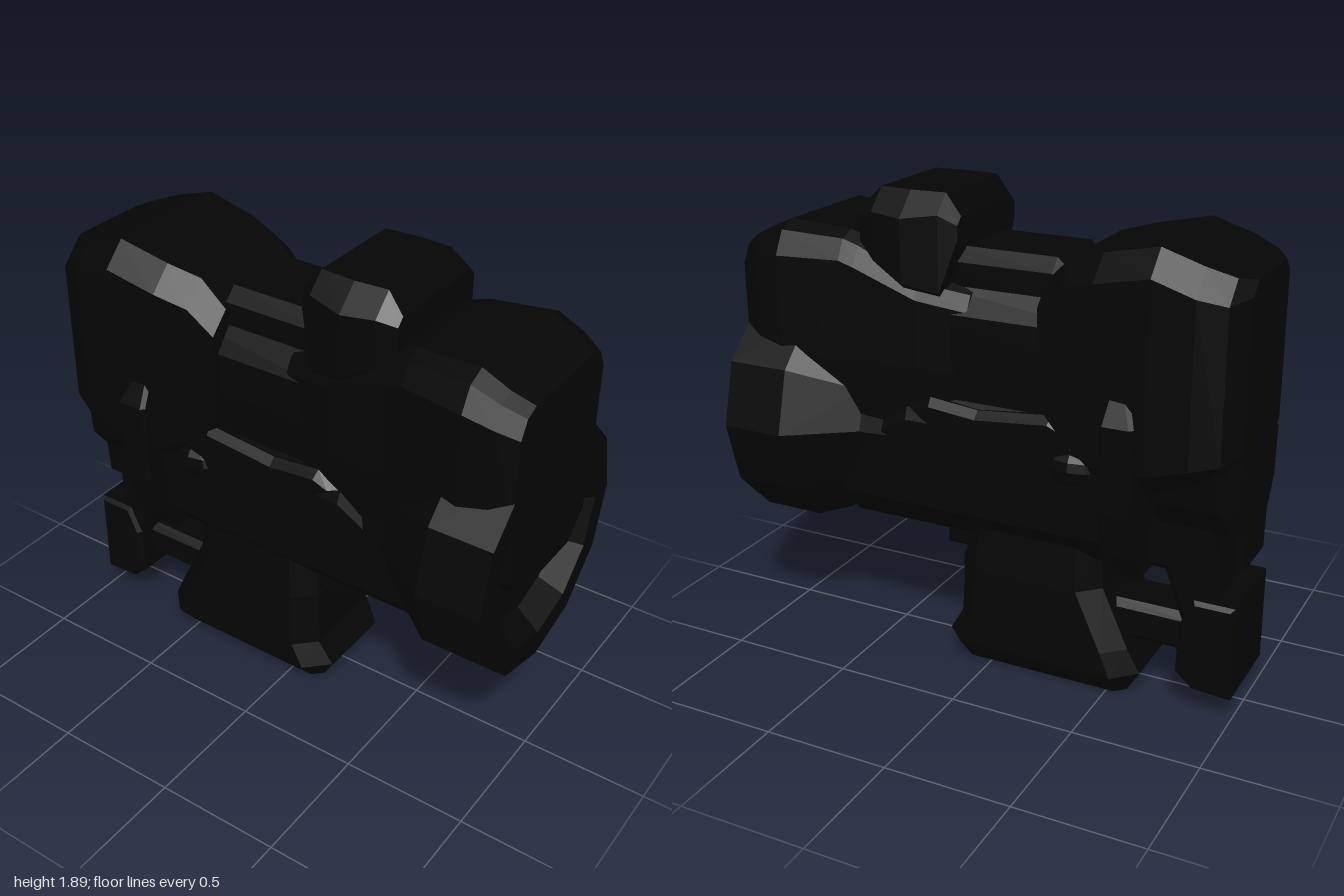
import * as THREE from 'three';

const material = new THREE.MeshStandardMaterial({ color: 0x050505, flatShading: true, side: THREE.DoubleSide });

// Loft through [z, half outline bottom to top]; each outline is mirrored in x.
function loft(sections) {
  const pos = [], idx = [];
  const n = sections[0][1].length * 2;
  for (const [z, half] of sections) {
    const mirrored = half.map(([x, y]) => [-x, y]).reverse();
    for (const [x, y] of [...half, ...mirrored]) pos.push(x, y, z);
  }
  const last = (sections.length - 1) * n;
  for (let s = 0; s < last; s += n) {
    for (let i = 0; i < n; i++) {
      const j = (i + 1) % n;
      idx.push(s + i, s + j, s + n + j, s + i, s + n + j, s + n + i);
    }
  }
  // End caps fan out from their middle
  for (const [base, front] of [[0, false], [last, true]]) {
    const ys = sections[base / n][1].map((p) => p[1]);
    const c = pos.length / 3;
    pos.push(0, (Math.min(...ys) + Math.max(...ys)) / 2, pos[base * 3 + 2]);
    for (let i = 0; i < n; i++) {
      const a = base + i, b = base + (i + 1) % n;
      idx.push(c, front ? a : b, front ? b : a);
    }
  }
  const g = new THREE.BufferGeometry();
  g.setAttribute('position', new THREE.Float32BufferAttribute(pos, 3));
  g.setIndex(idx);
  g.computeVertexNormals();
  return g;
}

// Chamfered rectangle outline: half width, bottom, top, lower and upper chamfer
const rect = (x, y0, y1, c0, c1 = c0) => [[x - c0, y0], [x, y0 + c0], [x, y1 - c1], [x - c1, y1]];

// Upright loft: rows of [y, half width, front z, back z, chamfer], top row first
const tower = (rows) =>
  loft(rows.map(([y, x, zf, zb, c]) => [y, rect(x, -zf, -zb, c)])).rotateX(-Math.PI / 2);

// Side profile of [z, y] points, extruded across x with chamfered edges
function slab(points, halfWidth, bevel) {
  const shape = new THREE.Shape(points.map(([z, y]) => new THREE.Vector2(z, y)));
  const depth = 2 * (halfWidth - bevel);
  const g = new THREE.ExtrudeGeometry(shape, {
    depth, bevelEnabled: true, bevelSegments: 1, bevelThickness: bevel, bevelSize: bevel, bevelOffset: -bevel,
  });
  return g.translate(0, 0, -depth / 2).rotateY(-Math.PI / 2);
}

export function createModel() {
  const model = new THREE.Group();
  const add = (name, geometry) => {
    const mesh = new THREE.Mesh(geometry, material);
    mesh.name = name;
    model.add(mesh);
    return mesh;
  };

  // Twelve-sided flared muzzle with a shallow recessed bore
  const flare = [[0.01, 0.1], [0.27, 0.15], [0.31, 0.5], [0.49, 0.75], [0.49, 1], [0.39, 1], [0.31, 0.91], [0.01, 0.91]];
  const muzzle = add('muzzle', new THREE.LatheGeometry(flare.map(([r, z]) => new THREE.Vector2(r, z)), 12).rotateX(Math.PI / 2));
  muzzle.position.y = 0.95;

  // Front block, reaching down into the bore
  const block = (x, y1, c) => [[x * 0.6, 0.87], [x * 0.93, 0.97], [x, 1.24], [x, y1 - c], [x - c * 0.4, y1 - c * 0.25], [x - c, y1]];
  add('frontBlock', loft([
    [0.05, block(0.26, 1.55, 0.08)],
    [0.25, block(0.29, 1.58, 0.08)],
    [0.5, block(0.31, 1.7, 0.1)],
    [0.56, block(0.315, 1.72, 0.1)],
    [0.81, block(0.355, 1.74, 0.12)],
    [0.92, block(0.335, 1.69, 0.1)],
    [1, block(0.3, 1.65, 0.09)],
  ]));

  // Receiver: wide lower half, narrower upper half
  const body = [[0.17, 0.55], [0.29, 0.68], [0.3, 1.03], [0.26, 1.13], [0.27, 1.3], [0.27, 1.46], [0.2, 1.55]];
  add('receiver', loft([
    [-0.65, body],
    [0.3, body],
    [0.6, [[0.17, 0.55], [0.29, 0.68], [0.29, 0.85], [0.24, 1], [0.22, 1.1], [0.2, 1.2], [0.15, 1.25]]],
  ]));

  // Raised rib on both sides of the receiver
  add('sideRib', slab([[0.3, 1.08], [0.2, 1.0], [-0.38, 1.0], [-0.46, 1.06], [-0.3, 1.14], [0, 1.11], [0.2, 1.13]], 0.305, 0.03));

  // Top rail and sight housing
  add('topRail', loft([
    [-0.31, rect(0.17, 1.5, 1.64, 0.03)],
    [-0.26, rect(0.2, 1.5, 1.69, 0.03, 0.05)],
    [0.2, rect(0.2, 1.5, 1.69, 0.03, 0.05)],
  ]));
  add('sightHousing', loft([
    [0.1, rect(0.23, 1.7, 1.81, 0.03)],
    [0.16, rect(0.27, 1.5, 1.89, 0.03, 0.07)],
    [0.3, rect(0.3, 1.53, 1.89, 0.03, 0.09)],
    [0.43, rect(0.28, 1.6, 1.89, 0.03, 0.08)],
    [0.5, rect(0.25, 1.66, 1.82, 0.03)],
  ]));

  // Bulky stock at the back
  add('stock', loft([
    [-1, rect(0.21, 1.04, 1.7, 0.05)],
    [-0.95, rect(0.31, 1.0, 1.715, 0.07, 0.08)],
    [-0.85, rect(0.355, 0.95, 1.75, 0.1, 0.09)],
    [-0.69, rect(0.355, 0.88, 1.8, 0.12, 0.09)],
    [-0.48, rect(0.345, 0.9, 1.755, 0.1, 0.09)],
    [-0.35, rect(0.315, 1.0, 1.72, 0.08, 0.09)],
    [-0.25, rect(0.295, 1.12, 1.62, 0.06, 0.08)],
  ]));

  // Upright plates, tapered at both ends, on either side of the stock
  add('sidePlates', tower([
    [0.55, 0.25, -0.53, -0.65, 0.015],
    [0.68, 0.35, -0.53, -0.65, 0.015],
    [0.85, 0.395, -0.53, -0.655, 0.015],
    [1.18, 0.395, -0.53, -0.66, 0.015],
    [1.28, 0.34, -0.54, -0.62, 0.015],
  ]));

  // Round knob on each side
  for (const side of [1, -1]) {
    const knob = add(side > 0 ? 'leftKnob' : 'rightKnob', new THREE.SphereGeometry(1, 8, 6));
    knob.scale.set(0.05, 0.07, 0.1);
    knob.position.set(side * 0.275, 0.95, -0.385);
  }

  // Magazine with a heavy foot, ribs and the lug in front of it
  add('magazine', tower([
    [0, 0.17, 0.13, -0.57, 0.04],
    [0.1, 0.25, 0.19, -0.63, 0.09],
    [0.2, 0.25, 0.13, -0.58, 0.08],
    [0.43, 0.24, 0.12, -0.47, 0.08],
    [0.62, 0.22, 0.1, -0.46, 0.08],
  ]));
  add('magazineLug', slab([[0.21, 0.47], [0.21, 0.6], [0.05, 0.6], [0.05, 0.47]], 0.15, 0.02));
  for (const x of [-0.11, 0.11]) {
    const rib = add('magazineRib', new THREE.BoxGeometry(0.09, 0.2, 0.03));
    rib.position.set(x, 0.35, 0.115);
  }

  // Rear grip, tapered neck under the stock, guard bar and butt block
  add('rearGrip', slab([[-0.6, 0.95], [-0.62, 0.56], [-0.71, 0.56], [-0.78, 0.37], [-0.82, 0.3], [-0.92, 0.3], [-0.92, 0.97]], 0.17, 0.03));
  add('rearNeck', tower([
    [0.6, 0.14, -0.66, -1, 0.02],
    [0.75, 0.16, -0.66, -1, 0.03],
    [0.87, 0.26, -0.64, -1, 0.06],
    [1.06, 0.29, -0.62, -1, 0.08],
  ]));
  add('guardBar', slab([[-0.46, 0.37], [-0.5, 0.21], [-0.74, 0.21], [-0.87, 0.1], [-0.9, 0.37]], 0.12, 0.03));
  add('buttBlock', slab([[-0.79, 0.37], [-0.78, 0.17], [-0.85, 0.11], [-1, 0.1], [-1, 0.48], [-0.84, 0.48]], 0.2, 0.015));

  return model;
}
